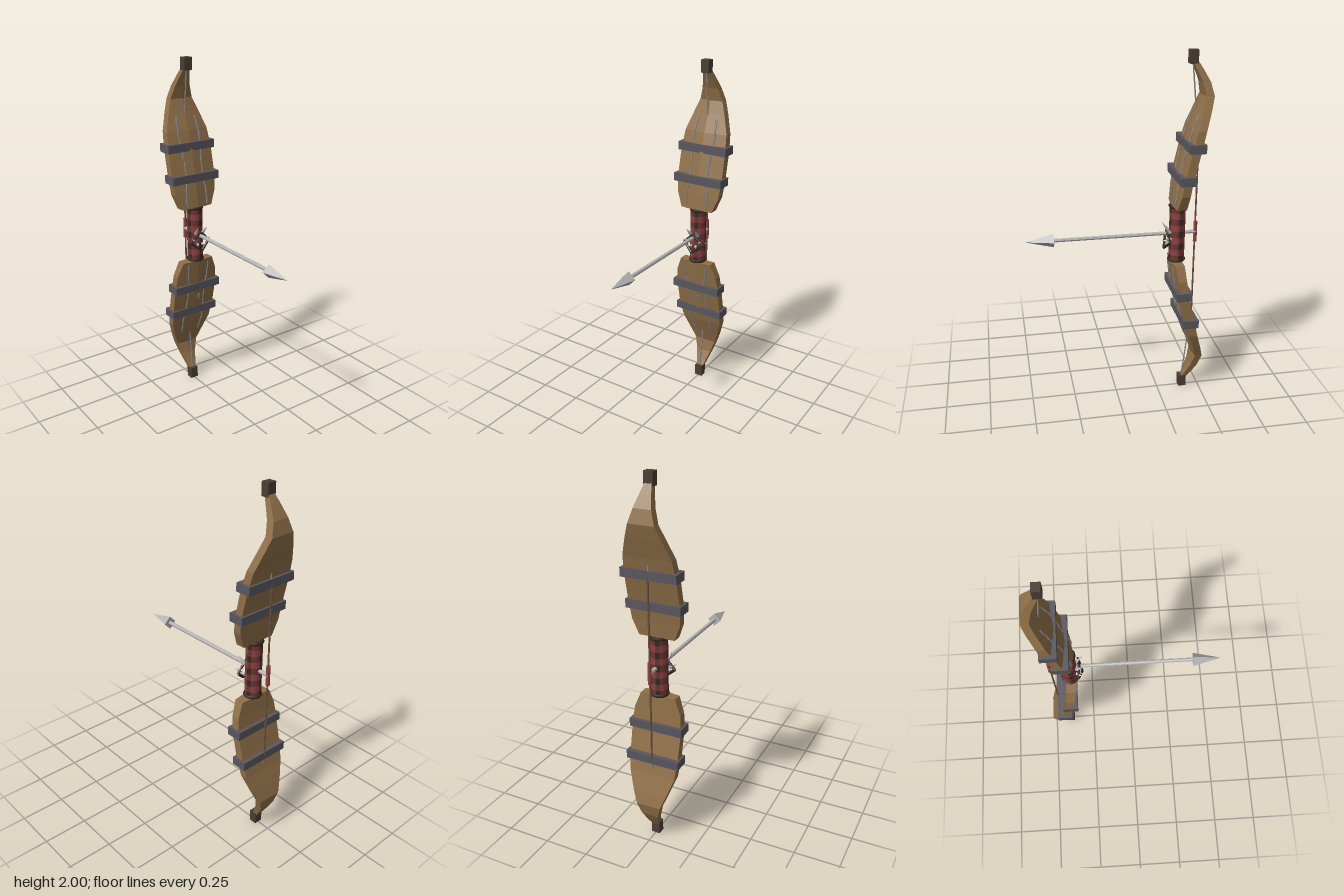
import * as THREE from 'three';

const mat = (name, color) => {
  const m = new THREE.MeshStandardMaterial({ color });
  m.name = name;
  return m;
};

// Faceted look: unshared vertices with face normals
function flat(geo) {
  const g = geo.index ? geo.toNonIndexed() : geo;
  g.computeVertexNormals();
  return g;
}

function add(parent, name, geo, material, pos = [0, 0, 0]) {
  const m = new THREE.Mesh(geo, material);
  m.name = name;
  m.position.set(...pos);
  parent.add(m);
  return m;
}

// Straight rod between two points, optionally tapered
function rod(parent, name, a, b, r0, r1, sides, material) {
  const A = new THREE.Vector3(...a), B = new THREE.Vector3(...b);
  const d = B.clone().sub(A);
  const m = add(parent, name, flat(new THREE.CylinderGeometry(r1, r0, d.length(), sides)), material);
  m.position.copy(A).add(B).multiplyScalar(0.5);
  m.quaternion.setFromUnitVectors(new THREE.Vector3(0, 1, 0), d.normalize());
  return m;
}

// Limb stations measured from the grip centre: y, half width, front ridge z, back z
const STATIONS = [
  [0.165, 0.100, -0.305, -0.370], [0.25, 0.134, -0.315, -0.378],
  [0.34, 0.143, -0.328, -0.390], [0.50, 0.141, -0.362, -0.428],
  [0.60, 0.132, -0.390, -0.452], [0.70, 0.097, -0.428, -0.484],
  [0.77, 0.070, -0.452, -0.503], [0.84, 0.048, -0.438, -0.486],
  [0.90, 0.031, -0.412, -0.452], [0.95, 0.017, -0.388, -0.420],
];

// Front ridge depth at a height
function frontZ(y) {
  for (let i = 1; i < STATIONS.length; i++) {
    const a = STATIONS[i - 1], b = STATIONS[i];
    if (y <= b[0]) return a[2] + (b[2] - a[2]) * (y - a[0]) / (b[0] - a[0]);
  }
  return STATIONS.at(-1)[2];
}

function limbGeometry() {
  const pos = [], idx = [], n = 5;
  for (const [y, w, zf, zb] of STATIONS) {
    const ze = zf - w * 0.13;
    for (const [x, z] of [[-w, zb], [-w, ze], [0, zf], [w, ze], [w, zb]]) pos.push(x, y, z);
  }
  for (let s = 0; s < STATIONS.length - 1; s++) {
    for (let i = 0; i < n; i++) {
      const a = s * n + i, b = s * n + (i + 1) % n;
      idx.push(a, b, b + n, a, b + n, a + n);
    }
  }
  const t = (STATIONS.length - 1) * n;
  for (let i = 1; i < n - 1; i++) idx.push(0, i + 1, i, t, t + i, t + i + 1);
  const g = new THREE.BufferGeometry();
  g.setAttribute('position', new THREE.Float32BufferAttribute(pos, 3));
  g.setIndex(idx);
  return flat(g);
}

export function createModel() {
  const wood = mat('wood', 0x8f6f48);
  const iron = mat('iron', 0x59565f);
  const darkLeather = mat('dark leather', 0x35291f);
  const tipWood = mat('tip wood', 0x4b3d34);
  const red = mat('red cloth', 0x8f4242);
  const darkRed = mat('dark red cloth', 0x6b3532);
  const steel = mat('steel', 0xb4b4b4);
  const wire = mat('wire', 0x85878a);
  const cord = mat('cord', 0x69503f);

  const bow = new THREE.Group();
  bow.name = 'bow';

  // Two identical limbs; the lower one is the upper turned half round
  for (const side of ['upper', 'lower']) {
    const limb = new THREE.Group();
    limb.name = side + 'Limb';
    limb.position.y = 1;
    if (side === 'lower') limb.rotation.z = Math.PI;
    bow.add(limb);

    add(limb, 'limbBody', limbGeometry(), wood);
    add(limb, 'tipBlock', new THREE.BoxGeometry(0.048, 0.07, 0.044), tipWood, [0, 0.965, -0.402]);
    add(limb, 'outerBand', new THREE.BoxGeometry(0.306, 0.047, 0.088), iron, [0, 0.512, -0.406]);
    add(limb, 'innerBand', new THREE.BoxGeometry(0.306, 0.047, 0.088), iron, [0, 0.338, -0.363]);

    // Wires winding over the front face
    for (const sx of [-1, 1]) {
      const pts = [];
      for (let i = 0; i <= 16; i++) {
        const y = 0.18 + i * 0.031;
        const x = sx * (0.061 + 0.006 * Math.sin(i * 0.55 + 1) + (i % 2 ? 0.002 : -0.002));
        pts.push(new THREE.Vector3(x, y, frontZ(y) - 0.006));
      }
      const path = new THREE.CatmullRomCurve3(pts);
      add(limb, 'limbWire', new THREE.TubeGeometry(path, 48, 0.005, 5), wire);
    }
    // String from the tip to the outer band
    rod(limb, 'tipString', [0, 0.945, -0.4], [0, 0.5, -0.447], 0.004, 0.004, 6, wire);
  }
  rod(bow, 'limbStud', [0.02, 0.57, -0.355], [0.015, 0.605, -0.335], 0.012, 0.004, 6, wire);

  // Bowstring with its cloth wrap
  rod(bow, 'bowString', [0, 0.49, -0.448], [0, 1.51, -0.448], 0.005, 0.005, 6, cord);
  rod(bow, 'stringWrap', [0, 0.94, -0.45], [0, 1.06, -0.45], 0.011, 0.011, 8, red);

  // Grip wrapped in a plaid cloth
  const rows = 9, cols = 12;
  const grip = new THREE.CylinderGeometry(0.046, 0.046, 0.325, cols, rows);
  grip.clearGroups();
  for (let c = 0; c < cols; c++) {
    for (let r = 0; r < rows; r++) {
      const tone = r % 2 ? (c % 3 === 0 ? 1 : 0) : (c % 3 === 0 ? 2 : 1);
      grip.addGroup((c * rows + r) * 6, 6, tone);
    }
  }
  grip.addGroup(cols * rows * 6, cols * 6, 2);
  add(bow, 'grip', grip, [red, darkRed, darkLeather], [0, 1, -0.345]);
  for (const y of [0.843, 1.161]) {
    const ring = add(bow, 'gripRing', new THREE.TorusGeometry(0.043, 0.009, 6, 16), darkLeather, [0, y, -0.345]);
    ring.rotation.x = Math.PI / 2;
  }

  // Diamond rest with claws on the front of the grip
  const rest = new THREE.Group();
  rest.name = 'arrowRest';
  bow.add(rest);
  const corners = [[0, 1.02, -0.285], [0.06, 0.963, -0.292], [0, 0.912, -0.272], [-0.06, 0.963, -0.292]];
  corners.forEach((p, i) => rod(rest, 'restFrame', p, corners[(i + 1) % 4], 0.008, 0.008, 6, darkLeather));
  for (const s of [-1, 1]) {
    rod(rest, 'upperClaw', [s * 0.022, 1.01, -0.3], [s * 0.032, 1.055, -0.265], 0.012, 0.001, 5, steel);
    rod(rest, 'sideClaw', [s * 0.035, 0.975, -0.3], [s * 0.058, 0.985, -0.268], 0.012, 0.001, 5, steel);
    rod(rest, 'lowerClaw', [s * 0.014, 0.945, -0.295], [s * 0.03, 0.945, -0.268], 0.01, 0.001, 5, steel);
  }

  // Arrow
  const arrow = new THREE.Group();
  arrow.name = 'arrow';
  bow.add(arrow);
  rod(arrow, 'arrowShaft', [0, 1, -0.455], [0, 1, 0.36], 0.011, 0.011, 8, steel);
  rod(arrow, 'arrowHead', [0, 1, 0.345], [0, 1, 0.5], 0.039, 0, 4, steel);

  return bow;
}
